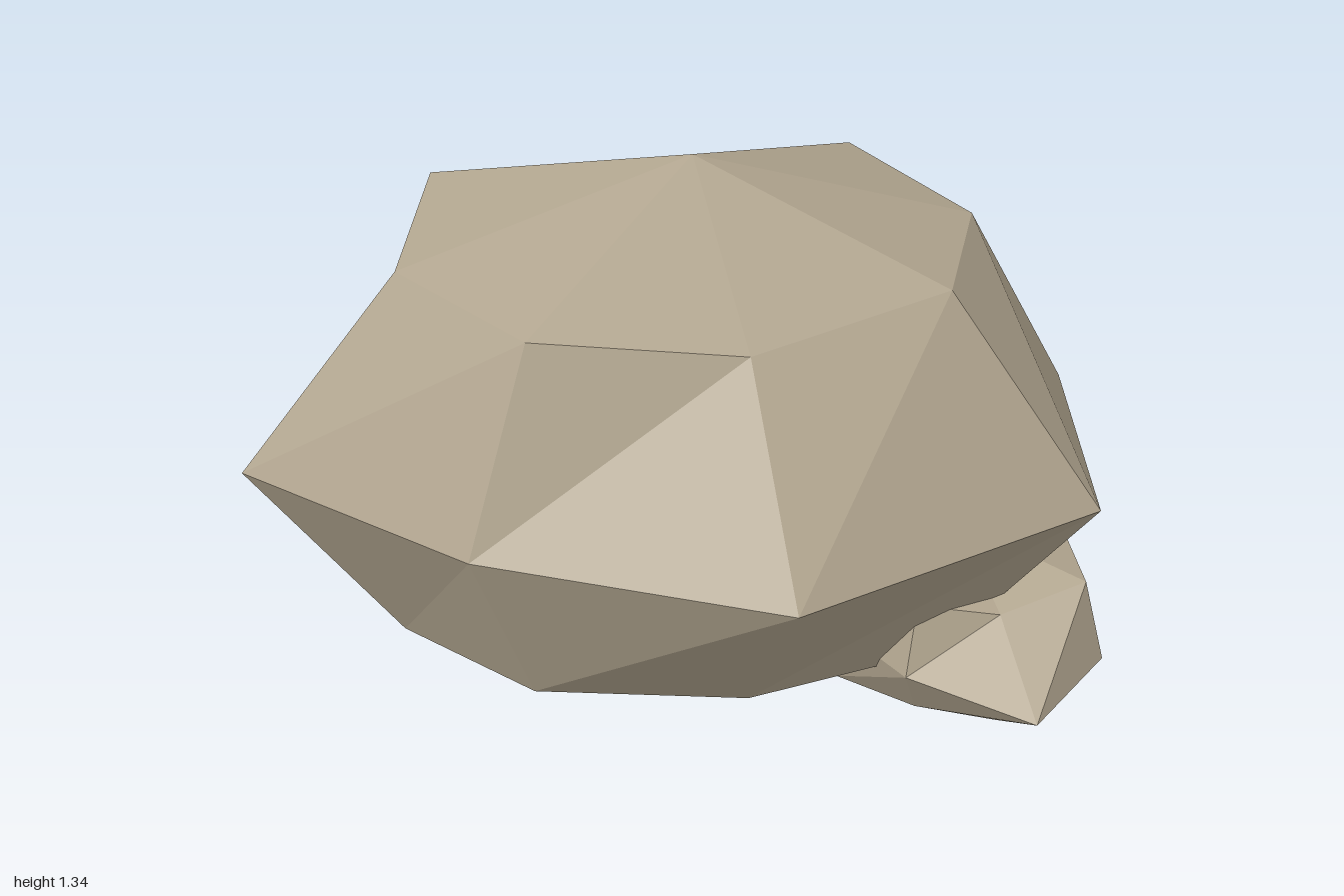
import * as THREE from 'three';

const SIDES = 8;

// A faceted boulder: an eight-sided ball whose corners are pushed in or out.
// rings: push factors for the upper, middle and lower ring, starting at -x and going round by +z.
function makeBoulder(name, material, { centre, radii, pole, rings }) {
  const [rx, ry, rz] = radii;
  const points = [0, ry * pole, 0];
  rings.forEach((ring, r) => {
    const tilt = (r + 1) * Math.PI / 4;
    ring.forEach((push, i) => {
      const turn = i / SIDES * Math.PI * 2;
      points.push(
        -Math.cos(turn) * Math.sin(tilt) * rx * push,
        Math.cos(tilt) * ry * push,
        Math.sin(turn) * Math.sin(tilt) * rz * push,
      );
    });
  });
  points.push(0, -ry * pole, 0);

  // Fans at both poles, and two bands of split quads between the rings
  const corner = (ring, i) => 1 + ring * SIDES + i % SIDES;
  const bottom = 1 + 3 * SIDES;
  const faces = [];
  for (let i = 0; i < SIDES; i++) {
    faces.push(0, corner(0, i), corner(0, i + 1));
    for (let r = 0; r < 2; r++) {
      const a = corner(r, i), b = corner(r, i + 1);
      const c = corner(r + 1, i), d = corner(r + 1, i + 1);
      faces.push(a, c, b, b, c, d);
    }
    faces.push(corner(2, i), bottom, corner(2, i + 1));
  }

  const indexed = new THREE.BufferGeometry();
  indexed.setAttribute('position', new THREE.Float32BufferAttribute(points, 3));
  indexed.setIndex(faces);
  const geometry = indexed.toNonIndexed();
  geometry.computeVertexNormals();

  const mesh = new THREE.Mesh(geometry, material);
  mesh.name = name;
  mesh.position.set(...centre);
  return mesh;
}

export function createModel() {
  const stone = new THREE.MeshStandardMaterial({ color: 0xb0a48e });
  stone.name = 'stone';

  const group = new THREE.Group();
  group.name = 'rocks';

  // Main boulder
  group.add(makeBoulder('largeRock', stone, {
    centre: [0.053, 0.671, 0.02],
    radii: [1, 0.68, 0.815],
    pole: 0.986,
    rings: [
      [0.955, 0.906, 0.837, 0.955, 0.96, 1.035, 0.847, 1.066],
      [1.053, 0.867, 1.053, 1.085, 0.947, 0.817, 1.103, 0.938],
      [1.008, 0.926, 0.915, 1.0, 0.93, 0.915, 1.11, 0.894],
    ],
  }));

  // Small stone half buried in its side
  group.add(makeBoulder('smallRock', stone, {
    centre: [0.64, 0.24, 0.295],
    radii: [0.325, 0.203, 0.41],
    pole: 1.09,
    rings: [
      [1.1, 1.15, 0.955, 1.3, 1.18, 1.3, 1.1, 1.1],
      [1.0, 0.957, 1.256, 1.087, 1.015, 0.957, 0.93, 1.0],
      [1.25, 1.0, 1.02, 0.91, 1.01, 1.2, 1.05, 1.08],
    ],
  }));

  return group;
}
